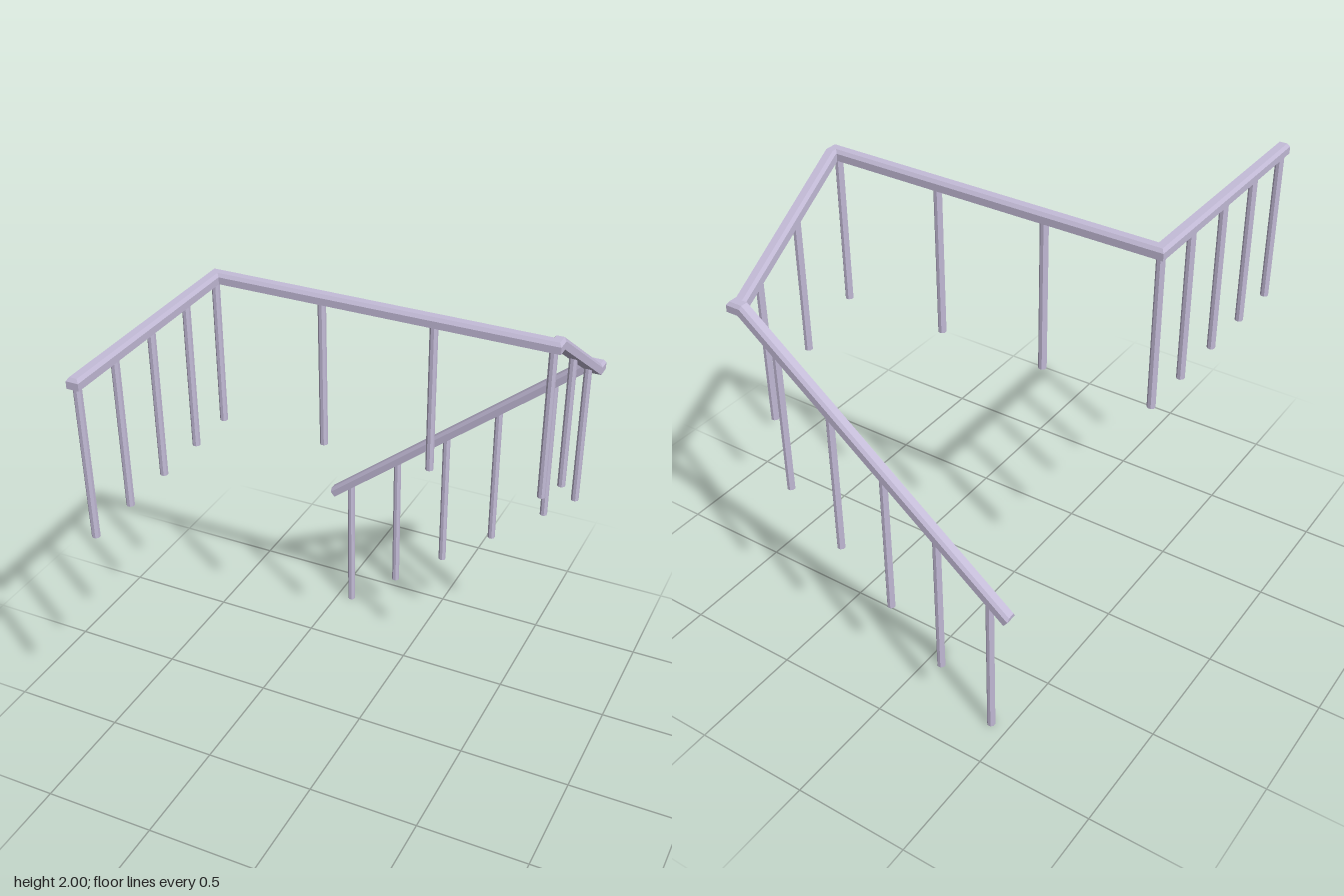
import * as THREE from 'three';

const material = new THREE.MeshStandardMaterial({ color: 0xc4bcd8, flatShading: true });
const V = (x, y, z) => new THREE.Vector3(x, y, z);

// Handrail centreline: level, level, sloping run, sloping run, with short level stubs at the turns
const TOP = 1.978, LOW = 1.592, BACK = -0.814, END = 0.625;
const path = [
  V(-0.726, TOP, 0.838), V(-0.726, TOP, -0.178), V(0.724, TOP, -0.178), V(0.724, TOP, -0.208),
  V(0.724, LOW, -0.783), V(0.724, LOW, BACK), V(0.687, LOW, BACK), V(-0.52, END, BACK),
];

// Rail section: flat bottom, bevelled top (side, up)
const section = [[-0.026, -0.022], [0.026, -0.022], [0.026, 0.008], [0.016, 0.022], [-0.016, 0.022], [-0.026, 0.008]];
const END_BEVEL = 0.01;

// Sweeps the section along the path, mitring each joint on its bisecting plane
function railGeometry() {
  const n = section.length, end = path.length - 1, pos = [], index = [];
  const dirs = path.slice(1).map((p, i) => p.clone().sub(path[i]).normalize());
  path.forEach((p, i) => {
    const d = dirs[Math.max(i - 1, 0)];
    const normal = d.clone().add(dirs[Math.min(i, end - 1)]).normalize();
    const side = V(0, 1, 0).cross(d).normalize();
    const up = d.clone().cross(side).normalize();
    const inward = i === 0 ? END_BEVEL : i === end ? -END_BEVEL : 0;
    for (const [s, u] of section) {
      const o = side.clone().multiplyScalar(s).addScaledVector(up, u);
      o.addScaledVector(d, -o.dot(normal) / d.dot(normal)).add(p);
      // top edge of both free ends is set back slightly
      if (u > 0.01) o.addScaledVector(d, inward);
      pos.push(o.x, o.y, o.z);
    }
  });
  for (let i = 0; i < end; i++) {
    for (let j = 0; j < n; j++) {
      const a = i * n + j, b = i * n + (j + 1) % n;
      index.push(a, b, b + n, a, b + n, a + n);
    }
  }
  // End caps: lower rectangle and upper bevel
  const last = end * n;
  for (const [a, b, c] of [[0, 1, 2], [0, 2, 5], [5, 2, 3], [5, 3, 4]]) {
    index.push(a, c, b, last + a, last + b, last + c);
  }
  const g = new THREE.BufferGeometry();
  g.setAttribute('position', new THREE.Float32BufferAttribute(pos, 3));
  g.setIndex(index);
  const flat = g.toNonIndexed();
  flat.computeVertexNormals();
  return flat;
}

export function createModel() {
  const group = new THREE.Group();

  const rail = new THREE.Mesh(railGeometry(), material);
  rail.name = 'handrail';
  group.add(rail);

  // Octagonal post from its foot up into the rail
  const addPost = (name, x, z, foot, top) => {
    const g = new THREE.CylinderGeometry(0.017, 0.017, top - foot, 8);
    g.rotateY(Math.PI / 8);
    const post = new THREE.Mesh(g, material);
    post.name = name;
    post.position.set(x, (foot + top) / 2, z);
    group.add(post);
  };

  // Posts of the two level runs
  for (const z of [0.81, 0.57, 0.32, 0.063, -0.17]) addPost('sidePost', -0.726, z, 1.312, TOP - 0.01);
  for (const x of [-0.245, 0.235, 0.716]) addPost('landingPost', x, -0.172, 1.312, TOP - 0.01);

  // Posts of the upper sloping run
  for (const [z, foot] of [[-0.448, 1.205], [-0.685, 0.995]]) {
    const t = (z - path[3].z) / (path[4].z - path[3].z);
    addPost('upperStairPost', 0.716, z, foot, TOP + (LOW - TOP) * t - 0.01);
  }

  // Posts of the lower sloping run
  for (let i = 0; i < 5; i++) {
    const x = -0.426 + i * 0.2425;
    const t = (x - path[6].x) / (path[7].x - path[6].x);
    addPost('lowerStairPost', x, BACK + 0.002, i * 0.198, LOW + (END - LOW) * t - 0.01);
  }
  return group;
}
